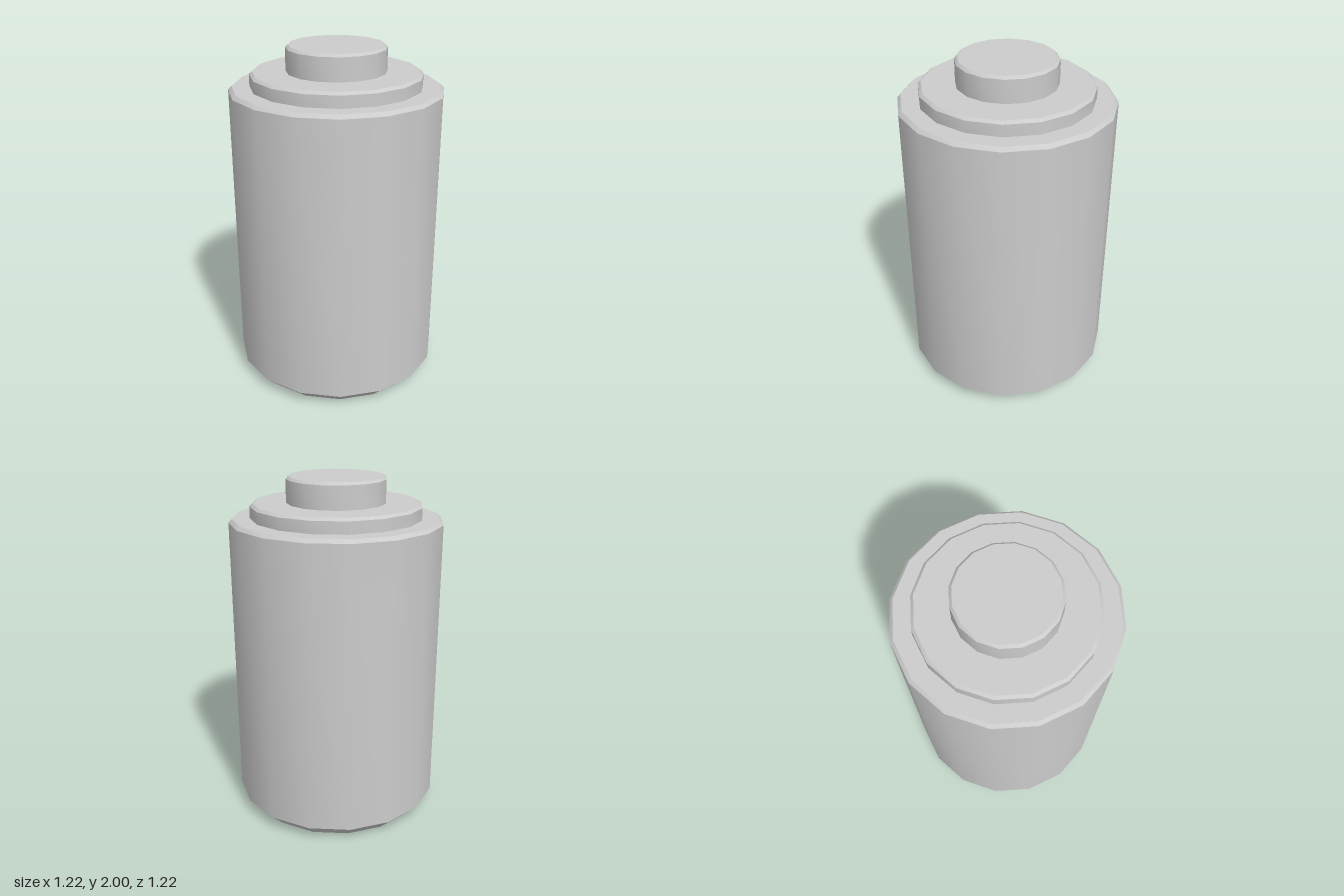
import * as THREE from 'three';
import { toCreasedNormals } from 'three/addons/utils/BufferGeometryUtils.js';

const SIDES = 16;
const material = new THREE.MeshStandardMaterial({ color: 0xcccccc });

// A closed turned part from [radius, height] pairs, bottom to top
function turned(name, profile) {
  const points = profile.map(([r, y]) => new THREE.Vector2(r, y));
  const geometry = toCreasedNormals(new THREE.LatheGeometry(points, SIDES), 0.6);
  const mesh = new THREE.Mesh(geometry, material);
  mesh.name = name;
  return mesh;
}

export function createModel() {
  const group = new THREE.Group();
  group.name = 'batteryCell';
  group.add(
    // Main can with a wide bottom chamfer and a fine top chamfer
    turned('body', [[0, 0], [0.53, 0], [0.61, 0.08], [0.61, 1.75], [0.59, 1.77], [0, 1.77]]),
    // Stepped ring on top of the can
    turned('collar', [[0, 1.765], [0.49, 1.765], [0.49, 1.838], [0.473, 1.853], [0, 1.853]]),
    // Contact button
    turned('terminal', [[0, 1.85], [0.285, 1.85], [0.285, 1.985], [0.27, 2], [0, 2]])
  );
  return group;
}
